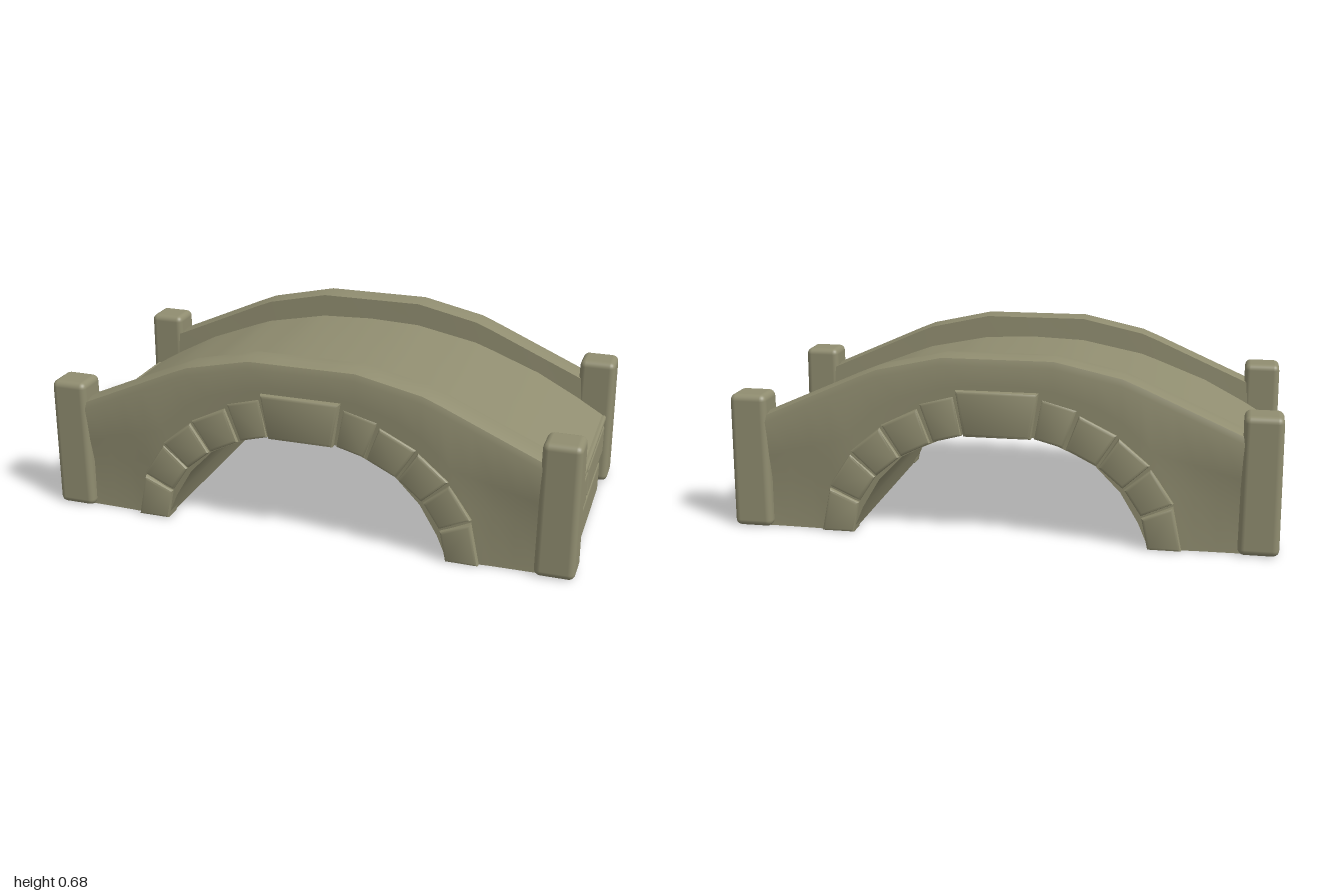
import * as THREE from 'three';
import { toCreasedNormals } from 'three/addons/utils/BufferGeometryUtils.js';
import { RoundedBoxGeometry } from 'three/addons/geometries/RoundedBoxGeometry.js';

// piecewise-linear profile lookup, symmetric in x
function profile(points, x) {
  x = Math.abs(x);
  for (let i = 1; i < points.length; i++) {
    const [x0, y0] = points[i - 1], [x1, y1] = points[i];
    if (x <= x1) return y0 + (y1 - y0) * (x - x0) / (x1 - x0);
  }
  return points[points.length - 1][1];
}

const ARCH = [[0, 0.4], [0.09, 0.4], [0.22, 0.365], [0.35, 0.298], [0.44, 0.205], [0.505, 0.095], [0.545, 0], [1, 0]];
const PARAPET = [[0, 0.677], [0.2, 0.677], [0.45, 0.622], [0.86, 0.44], [0.93, 0.41], [0.97, 0.285]];
const DECK = [[0, 0.59], [0.2, 0.582], [0.45, 0.532], [0.7, 0.435], [0.86, 0.35], [0.97, 0.285]];
const RECESS = [[0, 0], [0.55, 0], [0.7, 0.02], [0.85, 0.025], [1, 0.025]];

// arch, deck and both parapets as one loft along x
function bridgeBody() {
  const half = [0, 0.09, 0.2, 0.28, 0.35, 0.44, 0.505, 0.545, 0.62, 0.7, 0.78, 0.86, 0.93, 0.97];
  const stations = [...half.slice(1).reverse().map(x => -x), ...half];
  const pos = [], idx = [];
  let n = 0;
  for (const x of stations) {
    const low = profile(ARCH, x), top = profile(PARAPET, x), deck = profile(DECK, x);
    const dent = profile(RECESS, x), mid = low + (top - low) * 0.62;
    const side = [
      [deck, 0], [deck, 0.358], [top - 0.008, 0.362], [top, 0.43], [top - 0.01, 0.472],
      [top - 0.035, 0.48], [mid, 0.478 - dent * 0.3], [low + (top - low) * 0.4, 0.477 - dent], [low, 0.472 - dent * 0.5],
    ];
    const ring = [...side, ...side.slice(1).reverse().map(([y, z]) => [y, -z])];
    n = ring.length;
    ring.forEach(([y, z]) => pos.push(x, y, z));
  }
  for (let i = 0; i < stations.length - 1; i++) {
    for (let j = 0; j < n; j++) {
      const a = i * n + j, b = i * n + (j + 1) % n;
      idx.push(a, b, b + n, a, b + n, a + n);
    }
  }
  const g = new THREE.BufferGeometry();
  g.setAttribute('position', new THREE.Float32BufferAttribute(pos, 3));
  g.setIndex(idx);
  return toCreasedNormals(g, 0.7);
}

// wedge stone between two arch angles, with softened edges
function archStone(from, to, thick, front) {
  const at = (deg, out) => {
    const t = THREE.MathUtils.degToRad(deg);
    const nrm = new THREE.Vector2(Math.cos(t) / 0.54, Math.sin(t) / 0.39).normalize();
    return new THREE.Vector2(0.54 * Math.cos(t), Math.min(0.39, 0.397 * Math.sin(t))).addScaledVector(nrm, out);
  };
  const pts = [at(from, 0), at(from, thick), at(to, thick), at(to, 0)];
  const bevel = 0.012, back = 0.4;
  const g = new THREE.ExtrudeGeometry(new THREE.Shape(pts), {
    depth: front - back - bevel * 2, bevelEnabled: true, bevelSize: bevel,
    bevelThickness: bevel, bevelOffset: -bevel, bevelSegments: 2,
  });
  g.translate(0, 0, back + bevel);
  return toCreasedNormals(g, 0.8);
}

export function createModel() {
  const group = new THREE.Group();
  const stone = new THREE.MeshStandardMaterial({ color: 0x908d70 });
  stone.name = 'mossy stone';
  const add = (name, geometry, x = 0, y = 0, z = 0) => {
    const mesh = new THREE.Mesh(geometry, stone);
    mesh.name = name;
    mesh.position.set(x, y, z);
    group.add(mesh);
    return mesh;
  };

  add('bridgeBody', bridgeBody());

  // corner pillars, slightly narrower at the top
  const pillar = new RoundedBoxGeometry(0.145, 0.504, 0.136, 3, 0.024);
  const p = pillar.attributes.position;
  for (let i = 0; i < p.count; i++) {
    const s = 1 - 0.06 * (p.getY(i) + 0.252) / 0.504;
    p.setX(i, p.getX(i) * s);
    p.setZ(i, p.getZ(i) * s);
  }
  for (const sx of [-1, 1]) for (const sz of [-1, 1]) add('cornerPillar', pillar, sx * 0.9275, 0.252, sz * 0.422);

  // arch stones on both faces: start angle, end angle, thickness, front depth
  const stones = [
    [0, 17, 0.12, 0.489], [18, 33, 0.125, 0.486], [34, 48, 0.13, 0.49],
    [49, 63, 0.135, 0.488], [64, 76, 0.15, 0.482], [77, 103, 0.17, 0.498],
    [104, 116, 0.15, 0.482], [117, 131, 0.135, 0.488], [132, 146, 0.13, 0.49],
    [147, 162, 0.125, 0.486], [163, 180, 0.12, 0.489],
  ];
  for (const spec of stones) {
    const g = archStone(...spec);
    const name = spec[0] === 77 ? 'keystone' : 'archStone';
    add(name, g);
    add(name, g).rotation.y = Math.PI;
  }

  // end walls with a lip under the deck and raised blocks
  for (const s of [-1, 1]) {
    add('endWall', new THREE.BoxGeometry(0.06, 0.28, 0.8), s * 0.93, 0.14, 0);
    add('deckLip', new RoundedBoxGeometry(0.06, 0.026, 0.72, 2, 0.01), s * 0.948, 0.277, 0);
    const blocks = [[0.35, 0.105, 0.13, 0.258], [0.088, -0.345, 0.135, 0.258], [0.2, -0.262, 0.004, 0.135]];
    for (const [z0, z1, y0, y1] of blocks) {
      add('endBlock', new RoundedBoxGeometry(0.05, y1 - y0, z0 - z1, 2, 0.014),
        s * 0.952, (y0 + y1) / 2, (z0 + z1) / 2);
    }
  }
  return group;
}
